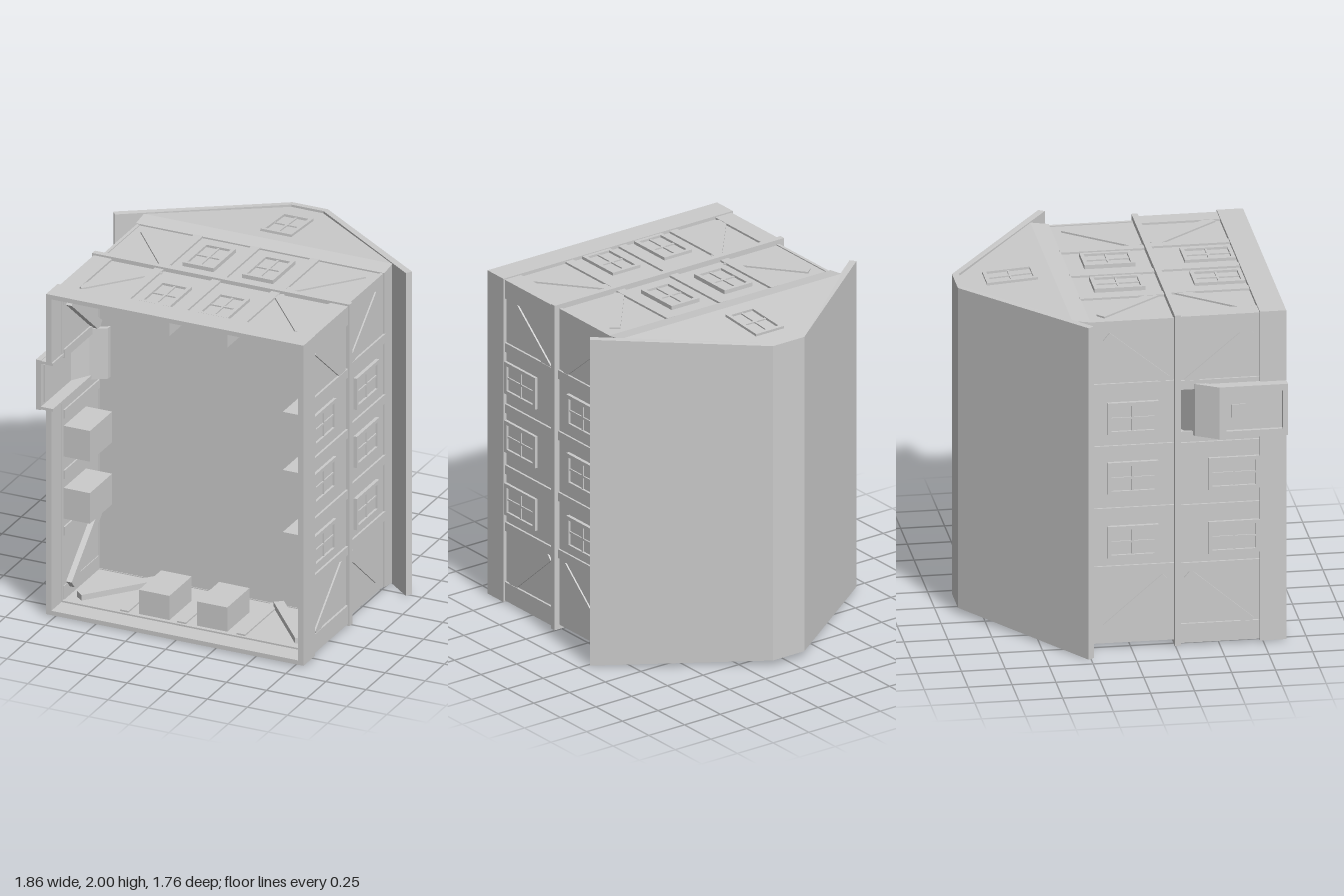
import * as THREE from 'three';

const material = new THREE.MeshStandardMaterial({ color: 0xcccccc, flatShading: true });

function add(parent, name, geometry) {
  const mesh = new THREE.Mesh(geometry, material);
  mesh.name = name;
  parent.add(mesh);
  return mesh;
}

// Outline of [x, z] points, extruded along y from y0 to y1
function prism(points, y0, y1) {
  const shape = new THREE.Shape(points.map(([x, z]) => new THREE.Vector2(x, -z)));
  return new THREE.ExtrudeGeometry(shape, { depth: y1 - y0, bevelEnabled: false })
    .rotateX(-Math.PI / 2).translate(0, y0, 0);
}

// Pulls the end faces inwards towards the ridge
function leanEnds(geometry, start) {
  const p = geometry.attributes.position;
  for (let i = 0; i < p.count; i++) {
    const y = p.getY(i), k = Math.max(0, start - p.getZ(i));
    p.setY(i, y * (1 - 0.0686 * k));
  }
  geometry.computeVertexNormals();
  return geometry;
}

// Group whose local z is the outward normal of a wall; the house's up is -z
function wallFrame(parent, name, outward) {
  const group = new THREE.Group();
  group.name = name;
  const up = new THREE.Vector3(0, 0, -1);
  const across = new THREE.Vector3().crossVectors(up, outward);
  group.quaternion.setFromRotationMatrix(new THREE.Matrix4().makeBasis(across, up, outward));
  parent.add(group);
  // Sign that makes u run along world +x or +y
  return { group, s: across.x + across.y };
}

// Box on a wall: u range, z range, depth range
function slab(wall, name, u0, u1, z0, z1, d0, d1) {
  const g = new THREE.BoxGeometry(u1 - u0, z1 - z0, d1 - d0);
  g.translate(wall.s * (u0 + u1) / 2, -(z0 + z1) / 2, (d0 + d1) / 2);
  return add(wall.group, name, g);
}

// Diagonal timber between two [u, z] points
function brace(wall, a, b, d0, d1) {
  const ax = wall.s * a[0], bx = wall.s * b[0], dx = bx - ax, dy = a[1] - b[1];
  const g = new THREE.BoxGeometry(Math.hypot(dx, dy), 0.06, d1 - d0);
  g.rotateZ(Math.atan2(dy, dx));
  g.translate((ax + bx) / 2, -(a[1] + b[1]) / 2, (d0 + d1) / 2);
  add(wall.group, 'brace', g);
}

// Four-pane window with raised frame; d is the outer face
function windowUnit(wall, u, z, d, boxDepth = 0) {
  const unit = new THREE.Group();
  unit.name = 'window';
  wall.group.add(unit);
  const w = { group: unit, s: wall.s }, hw = 0.097, hz = 0.145, t = 0.022;
  for (const k of [-1, 1]) {
    const uc = u + k * (hw - t / 2), zc = z + k * (hz - t / 2);
    slab(w, 'windowJamb', uc - t / 2, uc + t / 2, z - hz, z + hz, d - 0.03, d);
    slab(w, 'windowRail', u - hw + t, u + hw - t, zc - t / 2, zc + t / 2, d - 0.03, d);
  }
  slab(w, 'windowPane', u - hw + t, u + hw - t, z - hz + t, z + hz - t, d - 0.03, d - 0.014);
  slab(w, 'mullion', u - 0.006, u + 0.006, z - hz + t, z + hz - t, d - 0.02, d - 0.006);
  slab(w, 'transom', u - hw + t, u + hw - t, z - 0.006, z + 0.006, d - 0.02, d - 0.006);
  if (boxDepth) slab(w, 'windowBox', u - hw + 0.002, u + hw - 0.002, z - hz, z + hz, d - 0.02 - boxDepth, d - 0.025);
  return unit;
}

export function createModel() {
  const model = new THREE.Group();
  const house = new THREE.Group();
  house.name = 'house';
  house.position.y = 1;
  model.add(house);

  // Roof shell with flat ridge
  add(house, 'roof', leanEnds(prism([
    [-0.932, -0.265], [-0.11, -0.883], [0.11, -0.883], [0.932, -0.265],
    [0.908, -0.232], [0.1, -0.845], [-0.1, -0.845], [-0.908, -0.232]], -1, 1), -0.37));

  // Attic with leaning gables on a flared course
  add(house, 'gables', leanEnds(prism([
    [-0.775, -0.335], [-0.1, -0.847], [0.1, -0.847], [0.775, -0.335]], -0.988, 0.988), -0.335));
  const course = prism([[-0.775, -0.335], [0.775, -0.335], [0.775, -0.23], [-0.775, -0.23]], -0.988, 0.988);
  const cp = course.attributes.position;
  for (let i = 0; i < cp.count; i++) if (cp.getZ(i) > -0.3) cp.setY(i, cp.getY(i) * 0.985);
  course.computeVertexNormals();
  add(house, 'gableCourse', course);

  // Floor between the storeys
  add(house, 'floor', new THREE.BoxGeometry(1.55, 1.95, 0.02).translate(0, 0, 0.265));

  // Long side walls: u is y measured from the middle
  const posts = [0.57, 0.195, -0.18, -0.53];
  for (const side of [1, -1]) {
    const wall = wallFrame(house, side > 0 ? 'leftWall' : 'rightWall', new THREE.Vector3(side, 0, 0));
    // The right wall is interrupted by the porch
    const runs = side > 0 ? [[-0.965, 0.965]] : [[-0.965, 0.285], [0.555, 0.965]];
    for (const [a, b] of runs) {
      slab(wall, 'lowerPanel', a, b, 0.25, 0.75, 0.765, 0.78);
      slab(wall, 'base', a, b, 0.73, 0.88, 0.77, 0.803);
    }
    slab(wall, 'upperPanel', -0.97, 0.97, -0.24, 0.26, 0.75, 0.768);
    slab(wall, 'belt', -0.99, 0.99, 0.245, 0.28, 0.76, 0.803);
    for (const u of posts) {
      slab(wall, 'lowerPost', u - 0.027, u + 0.027, 0.28, 0.735, 0.755, 0.793);
      slab(wall, 'upperPost', u - 0.027, u + 0.027, -0.235, 0.25, 0.75, 0.78);
    }
    for (const e of [-1, 1]) {
      const inner = e > 0 ? 0.58 : -0.57;
      slab(wall, 'cornerPost', Math.min(e * 0.87, e * 0.98), Math.max(e * 0.87, e * 0.98), 0.28, 0.735, 0.76, 0.793);
      brace(wall, [e * 0.88, 0.68], [inner, 0.32], 0.73, 0.79);
      brace(wall, [inner + e * 0.02, 0.2], [e * 0.88, -0.14], 0.74, 0.777);
    }
    for (const u of [0.385, 0.025, -0.36]) {
      windowUnit(wall, u, 0.01, 0.789);
      if (side > 0 || u < 0.3) windowUnit(wall, u, 0.585, 0.797, 0.175);
    }
  }

  // Gable end walls: u is x
  for (const end of [1, -1]) {
    const wall = wallFrame(house, end > 0 ? 'upperEndWall' : 'lowerEndWall', new THREE.Vector3(0, end, 0));
    slab(wall, 'lowerPanel', -0.78, 0.78, 0.25, 0.75, 0.955, 0.972);
    slab(wall, 'upperPanel', -0.768, 0.768, -0.24, 0.26, 0.945, 0.964);
    slab(wall, 'base', -0.803, 0.803, 0.73, 0.88, 0.965, 0.992);
    slab(wall, 'belt', -0.803, 0.803, 0.245, 0.28, 0.95, 0.996);
    for (const u of [-0.385, -0.028, 0.342]) {
      slab(wall, 'lowerPost', u - 0.027, u + 0.027, 0.28, 0.735, 0.945, 0.984);
      slab(wall, 'upperPost', u - 0.027, u + 0.027, -0.235, 0.25, 0.945, 0.976);
    }
    for (const e of [-1, 1]) {
      slab(wall, 'cornerPost', e > 0 ? 0.68 : -0.793, e > 0 ? 0.793 : -0.68, 0.28, 0.735, 0.955, 0.984);
      brace(wall, [e * 0.37, 0.3], [e * 0.69, 0.685], 0.92, 0.982);
      brace(wall, [e * 0.37, 0.22], [e * 0.68, -0.16], 0.94, 0.974);
    }
    windowUnit(wall, -0.203, 0.01, 0.988);
    windowUnit(wall, 0.168, 0.01, 0.988);
    windowUnit(wall, -0.203, 0.58, 0.99, 0.165);
    windowUnit(wall, 0.158, 0.58, 0.99, 0.165);
    // Gable window, tilted with the gable
    const tilted = windowUnit(wall, 0.005, 0, 0.02);
    tilted.position.set(0, 0.568, 0.967);
    tilted.rotation.x = -0.068;
  }

  // Entrance porch, open below, with a sloping hood
  const porch = new THREE.Group();
  porch.name = 'porch';
  house.add(porch);
  const cheek = [[-0.862, 0.88], [-0.862, 0.49], [-0.79, 0.365], [-0.76, 0.365], [-0.76, 0.88]];
  add(porch, 'porchCheek', prism(cheek, 0.27, 0.287));
  add(porch, 'porchCheek', prism(cheek, 0.553, 0.57));
  add(porch, 'porchHood', prism([[-0.873, 0.49], [-0.795, 0.36], [-0.68, 0.3], [-0.68, 0.33], [-0.77, 0.385], [-0.835, 0.49]], 0.262, 0.575));
  const front = wallFrame(porch, 'porchFront', new THREE.Vector3(-1, 0, 0));
  slab(front, 'doorJamb', 0.265, 0.305, 0.49, 0.88, 0.835, 0.867);
  slab(front, 'doorJamb', 0.535, 0.573, 0.49, 0.88, 0.835, 0.867);
  slab(front, 'doorLintel', 0.305, 0.535, 0.49, 0.53, 0.835, 0.867);
  slab(front, 'doorSill', 0.305, 0.535, 0.85, 0.88, 0.835, 0.867);
  slab(front, 'door', 0.305, 0.535, 0.53, 0.85, 0.825, 0.845);
  slab(front, 'doorWindow', 0.38, 0.46, 0.56, 0.64, 0.84, 0.852);

  return model;
}
